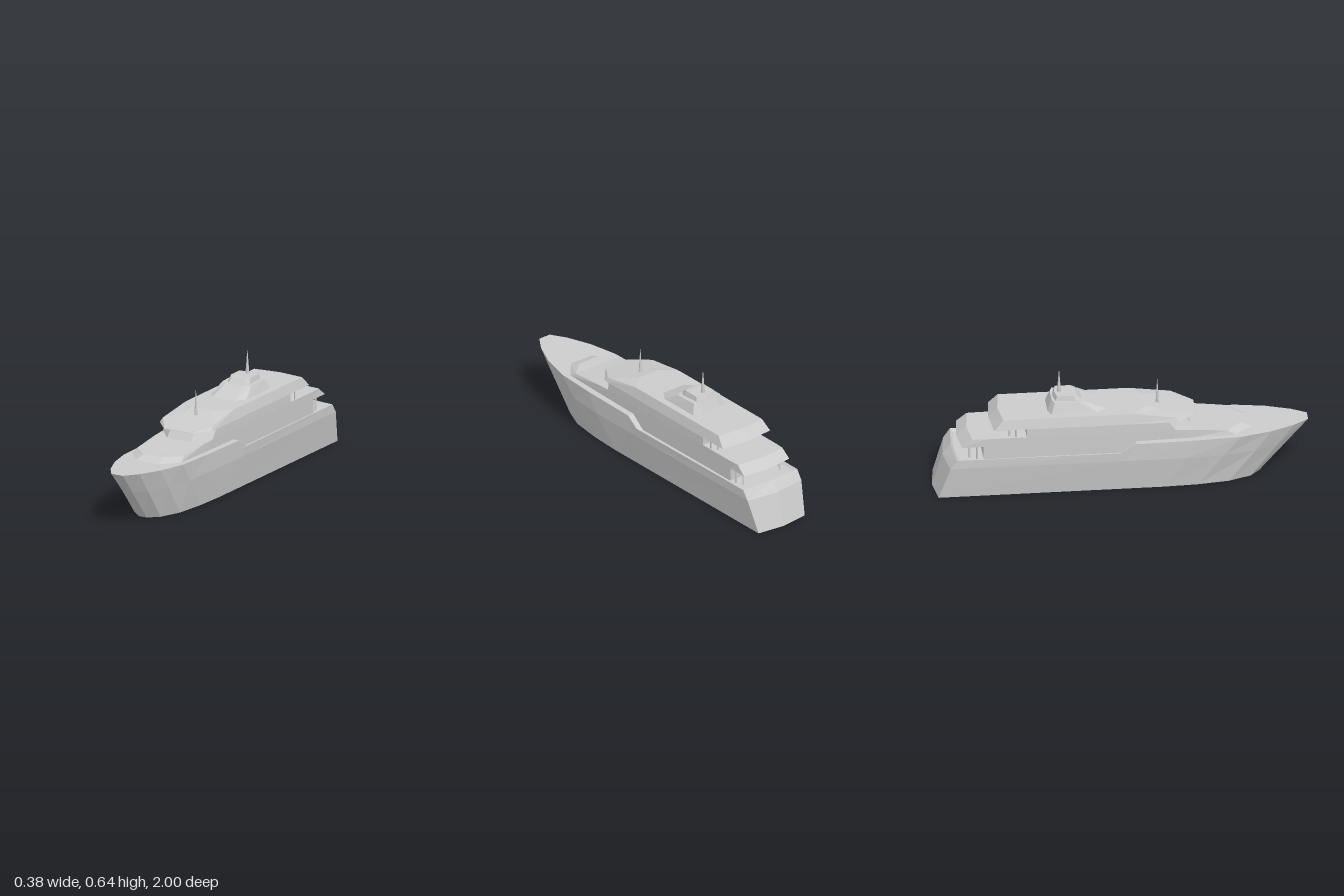
import * as THREE from 'three';

const material = new THREE.MeshStandardMaterial({ color: 0xcccccc, flatShading: true, side: THREE.DoubleSide });

const mirror = ([x, y, z]) => [-x, y, z];

// Joins half outlines (listed bow to stern on the +x side) into a mirrored loft.
function loft(name, halves, { top = true, bottom = false } = {}) {
  const positions = [];
  const quad = (a, b, c, d) => positions.push(...a, ...b, ...c, ...a, ...c, ...d);
  const rings = halves.map(h => [...h, ...h.map(mirror).reverse()]);
  for (let r = 0; r + 1 < rings.length; r++) {
    const lower = rings[r], upper = rings[r + 1], n = lower.length;
    for (let i = 0; i < n; i++) {
      const j = (i + 1) % n;
      quad(lower[i], lower[j], upper[j], upper[i]);
    }
  }
  const cap = (h, up) => {
    for (let i = 0; i + 1 < h.length; i++) {
      const q = [h[i], h[i + 1], mirror(h[i + 1]), mirror(h[i])];
      quad(...(up ? q : q.reverse()));
    }
  };
  if (top) cap(halves[halves.length - 1], true);
  if (bottom) cap(halves[0], false);
  const geometry = new THREE.BufferGeometry();
  geometry.setAttribute('position', new THREE.Float32BufferAttribute(positions, 3));
  geometry.computeVertexNormals();
  const mesh = new THREE.Mesh(geometry, material);
  mesh.name = name;
  return mesh;
}

// Upright rod or spike standing on y0
function rod(name, x, z, y0, y1, rTop, rBottom, sides = 8) {
  const mesh = new THREE.Mesh(new THREE.CylinderGeometry(rTop, rBottom, y1 - y0, sides), material);
  mesh.position.set(x, (y0 + y1) / 2, z);
  mesh.name = name;
  return mesh;
}

export function createModel() {
  const yacht = new THREE.Group();
  yacht.name = 'yacht';

  // Hull shell, open underneath
  const keel = [[.025, 0, .74], [.08, 0, .69], [.128, 0, .57], [.15, 0, .4], [.158, 0, .22],
    [.158, 0, .05], [.158, 0, -.02], [.158, 0, -.98], [0, 0, -1]];
  const knuckle = [[.031, .18, .896], [.087, .18, .83], [.14, .18, .71], [.174, .18, .54], [.186, .18, .34],
    [.187, .18, .06], [.187, .18, 0], [.184, .18, -.92], [0, .18, -.945]];
  const sheer = [[.036, .3, 1], [.09, .297, .92], [.145, .293, .79], [.182, .289, .63], [.19, .285, .4],
    [.19, .28, .07], [.19, .23, 0], [.185, .23, -.885], [0, .235, -.9]];
  yacht.add(loft('hull', [keel, knuckle, sheer], { top: false }));
  yacht.add(loft('foreDeck', [sheer.slice(0, 6)]));

  // Sunken aft deck with its bulwark
  const well = [[.176, .28, .07], [.176, .216, -.01], [.172, .216, -.87], [0, .216, -.885]];
  yacht.add(loft('aftDeck', [sheer.slice(5), well]));

  // Main deckhouse with sloping coachroof
  yacht.add(loft('mainDeckhouse', [
    [[.07, .29, .695], [.152, .288, .6], [.155, .284, .37], [.155, .282, .28], [.155, .28, .07], [.155, .216, -.01], [.155, .216, -.74]],
    [[.06, .312, .635], [.146, .312, .56], [.153, .33, .37], [.155, .335, .28], [.155, .335, .07], [.155, .335, -.01], [.155, .335, -.74]],
  ]));
  yacht.add(loft('mainDeckOverhang', [
    [[.155, .29, -.735], [.155, .29, -.855], [0, .29, -.872]],
    [[.155, .335, -.735], [.152, .335, -.8], [0, .335, -.817]],
  ], { bottom: true }));

  // Bridge deckhouse with raked windows
  yacht.add(loft('bridgeDeckhouse', [
    [[.075, .33, .37], [.155, .33, .285], [.155, .33, -.51]],
    [[.07, .392, .325], [.153, .392, .24], [.153, .392, -.51]],
  ]));

  // Bridge roof, sides leaning inward and nose sloping down
  yacht.add(loft('bridgeRoof', [
    [[.075, .386, .4], [.163, .386, .3], [.163, .386, .06], [.163, .386, -.685], [0, .386, -.7]],
    [[.075, .39, .398], [.153, .408, .285], [.148, .44, .06], [.148, .44, -.635], [0, .44, -.652]],
  ], { bottom: true }));
  yacht.getObjectByName('bridgeRoof').add(loft('roofCrown', [
    [[.075, .39, .398], [.153, .408, .285], [.148, .44, .06]],
    [[.075, .39, .397], [.07, .426, .2], [.068, .441, .13], [.148, .441, .06]].slice(0, 3),
  ]));

  // Mast house in two tiers
  yacht.add(loft('mastHouse', [
    [[.07, .438, -.075], [.11, .438, -.13], [.11, .438, -.375], [.06, .438, -.392], [0, .438, -.392]],
    [[.058, .488, -.2], [.088, .49, -.22], [.088, .496, -.355], [.05, .498, -.368], [0, .498, -.368]],
  ]));
  yacht.add(loft('mastPlatform', [
    [[.045, .488, -.205], [.068, .488, -.235], [.066, .49, -.35], [0, .49, -.362]],
    [[.045, .518, -.235], [.06, .521, -.255], [.06, .521, -.34], [0, .521, -.35]],
  ]));

  // Deck posts on both sides
  for (const side of [-1, 1]) {
    yacht.add(rod('aftPost', side * .145, -.775, .214, .292, .005, .005));
    yacht.add(rod('aftPost', side * .125, -.812, .214, .292, .005, .005));
    yacht.add(rod('bridgePost', side * .145, -.567, .333, .388, .005, .005));
    yacht.add(rod('bridgePost', side * .125, -.6, .333, .388, .005, .005));
  }

  // Spike antennas
  yacht.add(rod('foreAntenna', 0, .2, .422, .562, .001, .009));
  yacht.add(rod('mastAntenna', 0, -.323, .518, .645, .001, .011));

  return yacht;
}
